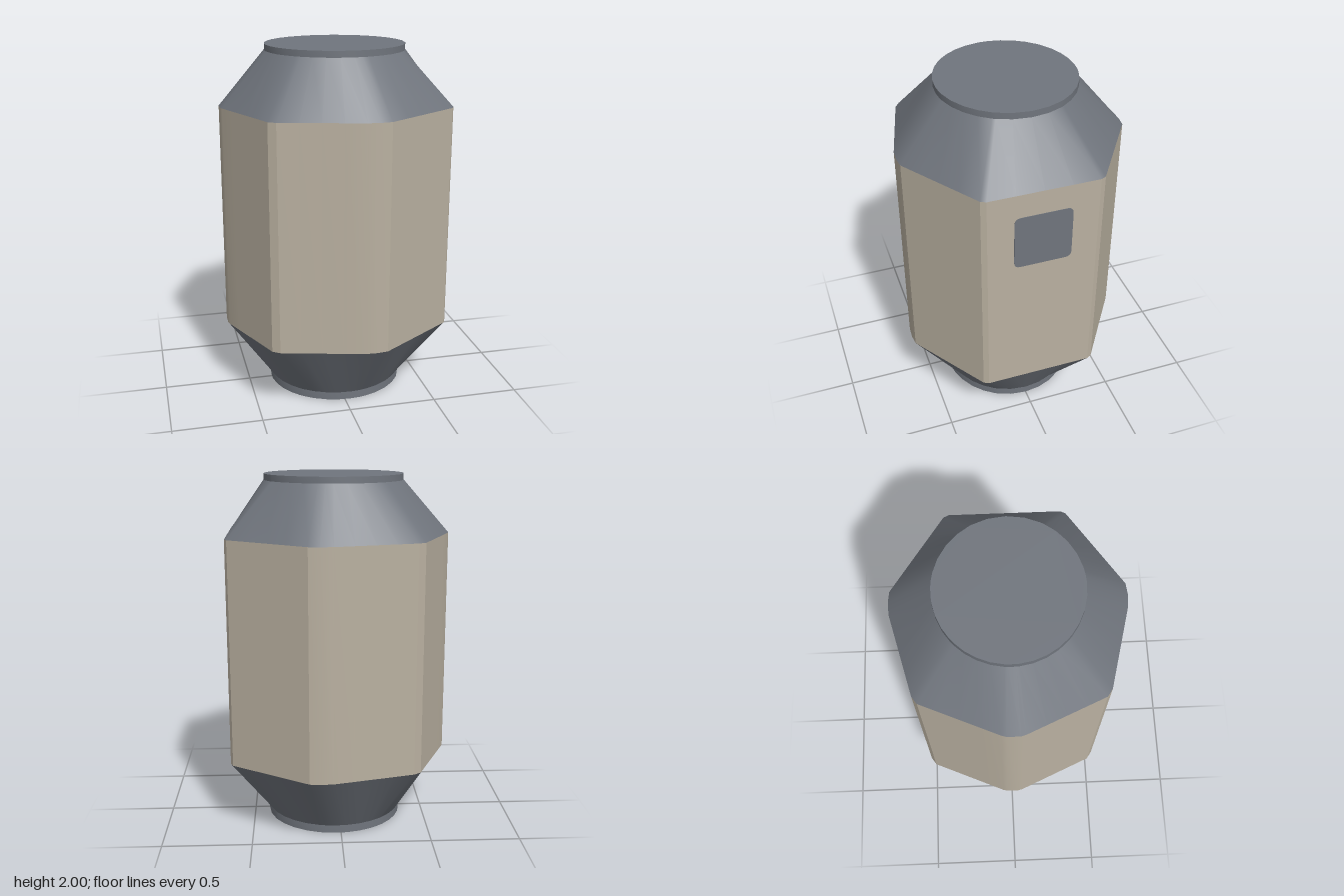
import * as THREE from 'three';
import { toCreasedNormals } from 'three/addons/utils/BufferGeometryUtils.js';

const CX = 0.025; // centre of the round collars

// Half outline of the seven-sided hull, from the +x face round to the -x corner
const half = [[0.62, 0.3], [0.606, 0.328], [0.18, 0.615], [0.12, 0.622], [0.05, 0.618],
  [-0.395, 0.503], [-0.435, 0.475], [-0.615, 0.06], [-0.622, 0.035]];
const corners = [...half, ...half.map(([x, z]) => [x, -z]).reverse()];

// Outline with the long sides subdivided so they can blend into a circle
function outline() {
  const pts = [];
  corners.forEach(([x, z], i) => {
    const [nx, nz] = corners[(i + 1) % corners.length];
    const steps = Math.hypot(nx - x, nz - z) > 0.2 ? 4 : 1;
    for (let k = 0; k < steps; k++) {
      const t = k / steps;
      pts.push([x + (nx - x) * t, z + (nz - z) * t]);
    }
  });
  return pts;
}

const hull = outline();
const collar = hull.map(([x, z]) => {
  const a = Math.atan2(z, x - CX);
  return [CX + 0.39 * Math.cos(a), 0.377 * Math.sin(a)];
});

// Skin between successive rings, each given as [points, y]
function loft(rings, crease) {
  const pos = [];
  for (let r = 0; r < rings.length - 1; r++) {
    const [lo, y0] = rings[r], [up, y1] = rings[r + 1];
    lo.forEach((p, i) => {
      const j = (i + 1) % lo.length;
      const a = [p[0], y0, p[1]], b = [lo[j][0], y0, lo[j][1]];
      const c = [up[i][0], y1, up[i][1]], d = [up[j][0], y1, up[j][1]];
      pos.push(...a, ...c, ...d, ...a, ...d, ...b);
    });
  }
  const g = new THREE.BufferGeometry();
  g.setAttribute('position', new THREE.Float32BufferAttribute(pos, 3));
  return toCreasedNormals(g, crease);
}

// Flat disc closing a collar, facing up or down
function cap(y, up) {
  const shape = new THREE.Shape(collar.map(([x, z]) => new THREE.Vector2(x, -z)));
  const g = new THREE.ShapeGeometry(shape);
  g.rotateX(up ? -Math.PI / 2 : Math.PI / 2);
  g.translate(0, y, 0);
  return g;
}

// Rounded rectangle plate
function roundedPlate(w, h, r, depth) {
  const s = new THREE.Shape();
  const x = w / 2, y = h / 2;
  s.moveTo(-x + r, -y);
  s.lineTo(x - r, -y).quadraticCurveTo(x, -y, x, -y + r);
  s.lineTo(x, y - r).quadraticCurveTo(x, y, x - r, y);
  s.lineTo(-x + r, y).quadraticCurveTo(-x, y, -x, y - r);
  s.lineTo(-x, -y + r).quadraticCurveTo(-x, -y, -x + r, -y);
  return new THREE.ExtrudeGeometry(s, { depth, bevelEnabled: false, curveSegments: 4 });
}

export function createModel() {
  const group = new THREE.Group();
  const cream = new THREE.MeshStandardMaterial({ name: 'cream hull', color: 0xb9b0a0 });
  const grey = new THREE.MeshStandardMaterial({ name: 'slate grey', color: 0x70757d });
  const add = (name, geometry, material) => {
    const mesh = new THREE.Mesh(geometry, material);
    mesh.name = name;
    group.add(mesh);
    return mesh;
  };

  // Seven-sided middle
  add('hull', loft([[hull, 0.4], [hull, 1.67]], 0.3), cream);

  // Tapered ends, each running from the hull to a short round collar
  add('lowerTaper', loft([[collar, 0.045], [hull, 0.4]], 0.45), grey);
  add('upperTaper', loft([[hull, 1.67], [collar, 1.965]], 0.45), grey);
  add('lowerCollar', loft([[collar, 0], [collar, 0.045]], 0.6), grey);
  add('upperCollar', loft([[collar, 1.965], [collar, 2]], 0.6), grey);
  add('bottomCap', cap(0, false), grey);
  add('topCap', cap(2, true), grey);

  // Window on the broad left face
  const pane = add('window', roundedPlate(0.315, 0.315, 0.035, 0.005), grey);
  pane.rotation.y = Math.PI / 2;
  pane.position.set(0.6175, 1.375, 0);

  return group;
}
